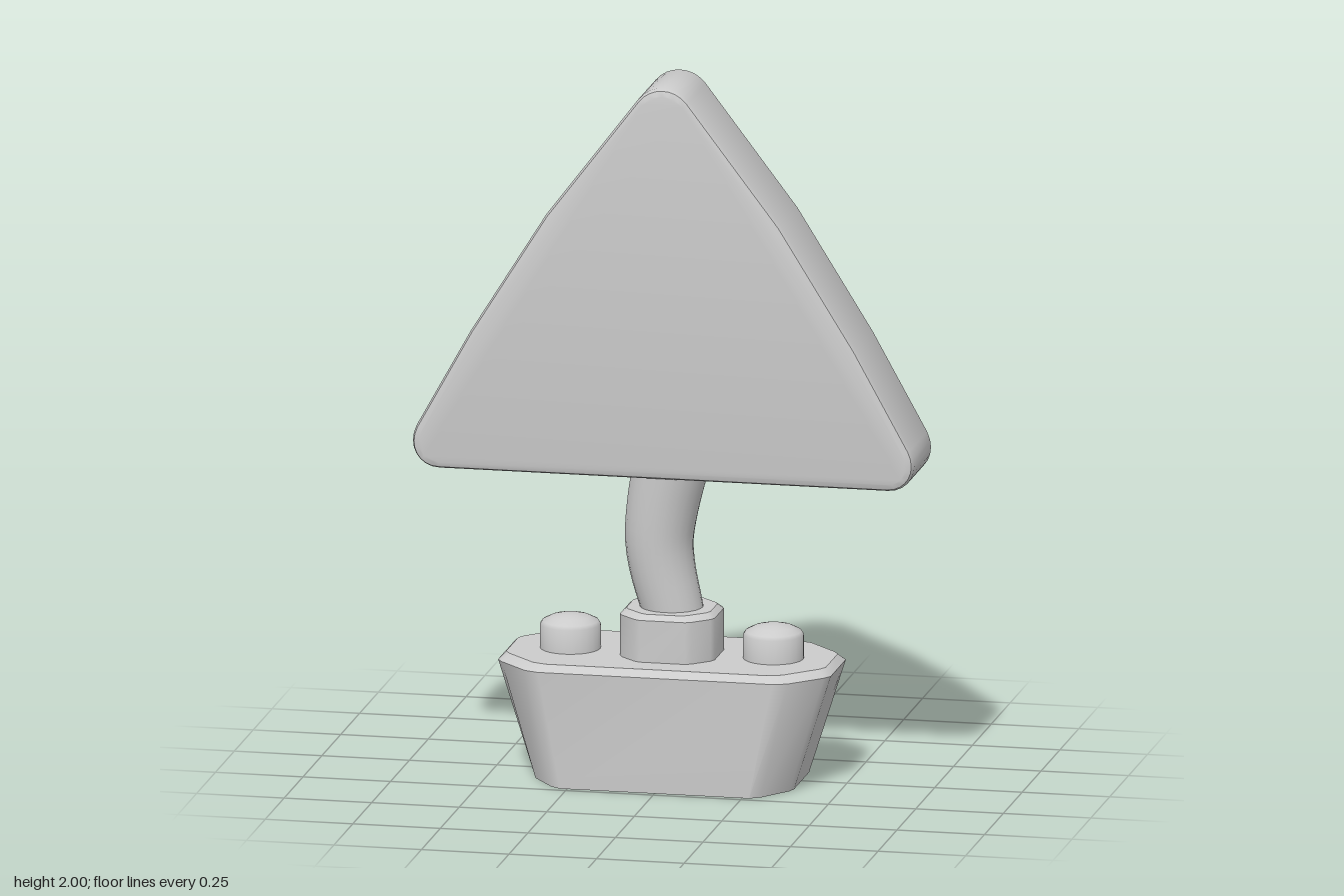
import * as THREE from 'three';
import { toCreasedNormals } from 'three/addons/utils/BufferGeometryUtils.js';

const material = new THREE.MeshStandardMaterial({ color: 0xcccccc });

function part(name, geometry, crease = 0.6) {
  const mesh = new THREE.Mesh(toCreasedNormals(geometry, crease), material);
  mesh.name = name;
  return mesh;
}

// Mirrors quarter-outline points [x, z] (side to front) into a full ring
function fullRing(quarter) {
  const back = [...quarter].reverse();
  return [
    ...quarter,
    ...back.map(([x, z]) => [-x, z]),
    ...quarter.map(([x, z]) => [-x, -z]),
    ...back.map(([x, z]) => [x, -z]),
  ];
}

// Skins a closed solid through levels of { y, quarter }, bottom to top
function loft(levels) {
  const rings = levels.map((l) => fullRing(l.quarter));
  const n = rings[0].length;
  const positions = [];
  const index = [];
  rings.forEach((ring, i) => ring.forEach(([x, z]) => positions.push(x, levels[i].y, z)));
  for (let i = 0; i < rings.length - 1; i++) {
    for (let j = 0; j < n; j++) {
      const a = i * n + j;
      const b = i * n + ((j + 1) % n);
      index.push(a, a + n, b, b, a + n, b + n);
    }
  }
  const last = (rings.length - 1) * n;
  for (let j = 1; j < n - 1; j++) {
    index.push(0, j, j + 1);
    index.push(last, last + j + 1, last + j);
  }
  const geometry = new THREE.BufferGeometry();
  geometry.setAttribute('position', new THREE.Float32BufferAttribute(positions, 3));
  geometry.setIndex(index);
  return geometry;
}

const inset = (quarter, d) => quarter.map(([x, z]) => [x - d, z - d]);

// Flared base with cut corners and a bevelled rim
function createBase() {
  const foot = [[0.37, 0.1], [0.363, 0.125], [0.3, 0.212], [0.27, 0.232]];
  const rim = [[0.475, 0.1], [0.46, 0.125], [0.375, 0.212], [0.335, 0.227]];
  return part('base', loft([
    { y: 0, quarter: foot },
    { y: 0.33, quarter: rim },
    { y: 0.35, quarter: inset(rim, 0.019) },
  ]));
}

// Eight-sided collar that holds the stalk
function createCollar() {
  const outline = [[0.135, 0.06], [0.127, 0.078], [0.082, 0.121], [0.065, 0.13]];
  return part('collar', loft([
    { y: 0.34, quarter: outline },
    { y: 0.47, quarter: outline },
    { y: 0.485, quarter: inset(outline, 0.015) },
  ]));
}

// Round button with a shallow domed cap
function createKnob(x) {
  const profile = [
    [0, 0.34], [0.085, 0.34], [0.085, 0.418], [0.079, 0.428],
    [0.055, 0.44], [0.028, 0.447], [0, 0.449],
  ].map(([r, y]) => new THREE.Vector2(r, y));
  const knob = part(x > 0 ? 'leftKnob' : 'rightKnob', new THREE.LatheGeometry(profile, 24));
  knob.position.x = x;
  return knob;
}

// Bent stalk, thicker towards the top
function createStalk() {
  const path = new THREE.CatmullRomCurve3([
    [0.015, 0.42], [0, 0.485], [-0.028, 0.6], [-0.036, 0.68], [-0.025, 0.78], [-0.004, 0.885], [0.005, 0.93],
  ].map(([x, y]) => new THREE.Vector3(x, y, 0)));
  const steps = 16;
  const sides = 24;
  const geometry = new THREE.TubeGeometry(path, steps, 1, sides);
  const position = geometry.attributes.position;
  const v = new THREE.Vector3();
  for (let i = 0; i < position.count; i++) {
    const t = Math.floor(i / (sides + 1)) / steps;
    const centre = path.getPointAt(t);
    v.fromBufferAttribute(position, i).sub(centre);
    v.multiplyScalar(0.083 + 0.026 * t).add(centre);
    position.setXYZ(i, v.x, v.y, v.z);
  }
  return part('stalk', geometry, 0.9);
}

// Thick triangular panel with bowed sides, rounded corners and bevelled edges
function createPanel() {
  const shape = new THREE.Shape();
  shape.moveTo(-0.64, 0.875);
  shape.lineTo(0.64, 0.875);
  shape.bezierCurveTo(0.7, 0.875, 0.735, 0.935, 0.705, 0.995);
  shape.lineTo(0.55, 1.275);
  shape.lineTo(0.335, 1.62);
  shape.lineTo(0.072, 1.965);
  shape.bezierCurveTo(0.035, 2.012, -0.035, 2.012, -0.072, 1.965);
  shape.lineTo(-0.335, 1.62);
  shape.lineTo(-0.55, 1.275);
  shape.lineTo(-0.705, 0.995);
  shape.bezierCurveTo(-0.735, 0.935, -0.7, 0.875, -0.64, 0.875);
  const bevel = 0.02;
  const geometry = new THREE.ExtrudeGeometry(shape, {
    depth: 0.26 - 2 * bevel,
    bevelThickness: bevel,
    bevelSize: bevel,
    bevelOffset: -bevel,
    bevelSegments: 2,
    curveSegments: 8,
  });
  geometry.translate(0, 0, -0.13 + bevel);
  return part('panel', geometry, 0.5);
}

export function createModel() {
  const model = new THREE.Group();
  model.name = 'triangularSignOnBase';
  model.add(createBase(), createCollar(), createKnob(0.29), createKnob(-0.29), createStalk(), createPanel());
  return model;
}
